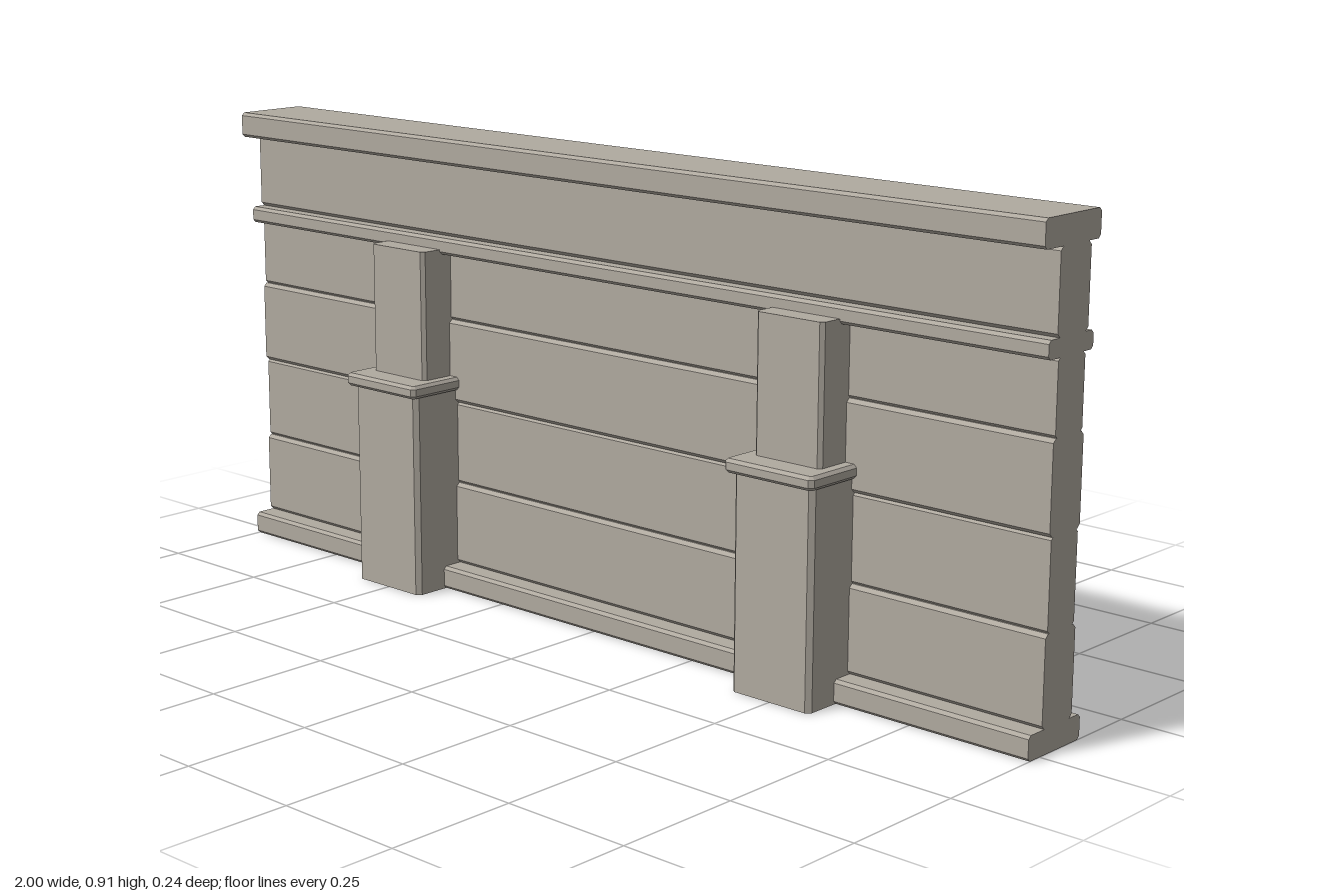
import * as THREE from 'three';

const stone = new THREE.MeshStandardMaterial({ color: 0xb0aaa0, flatShading: true });

// Rectangle centred on the origin with its corners cut
function cutRect(w, h, c) {
  const a = w / 2, b = h / 2;
  return new THREE.Shape([
    [-a + c, -b], [a - c, -b], [a, -b + c], [a, b - c],
    [a - c, b], [-a + c, b], [-a, b - c], [-a, -b + c],
  ].map(([x, y]) => new THREE.Vector2(x, y)));
}

// Full-length course between heights y0..y1 and depths zBack..zFront
function course(name, y0, y1, zFront, zBack, cut) {
  const geo = new THREE.ExtrudeGeometry(cutRect(zFront - zBack, y1 - y0, cut), { depth: 2, bevelEnabled: false });
  geo.translate(0, 0, -1).rotateY(-Math.PI / 2);
  geo.translate(0, (y0 + y1) / 2, (zFront + zBack) / 2);
  const mesh = new THREE.Mesh(geo, stone);
  mesh.name = name;
  return mesh;
}

// Upright block with cut vertical edges; bevel also trims its top and bottom
function block(name, halfWidth, y0, y1, zFront, cut, bevel = 0) {
  const zBack = -0.03;
  const shape = cutRect(halfWidth * 2 - bevel * 2, zFront - zBack - bevel * 2, cut);
  const geo = new THREE.ExtrudeGeometry(shape, {
    depth: y1 - y0 - bevel * 2, bevelEnabled: bevel > 0,
    bevelThickness: bevel, bevelSize: bevel, bevelSegments: 1,
  });
  geo.rotateX(-Math.PI / 2).translate(0, y0 + bevel, (zFront + zBack) / 2);
  const mesh = new THREE.Mesh(geo, stone);
  mesh.name = name;
  return mesh;
}

export function createModel() {
  const model = new THREE.Group();
  model.name = 'wall';

  // Plinth, wall courses, string band and coping
  const courses = [
    ['plinth', 0, 0.046, 0.034, -0.118, 0.006],
    ['wallCourse1', 0.046, 0.213, -0.004, -0.092, 0.007],
    ['wallCourse2', 0.213, 0.379, -0.009, -0.087, 0.005],
    ['wallCourse3', 0.379, 0.546, -0.004, -0.092, 0.007],
    ['wallCourse4', 0.546, 0.68, -0.009, -0.087, 0.005],
    ['stringBand', 0.68, 0.713, 0.02, -0.109, 0.006],
    ['upperCourse', 0.713, 0.863, -0.004, -0.092, 0.007],
    ['coping', 0.863, 0.914, 0.042, -0.118, 0.006],
  ];
  for (const c of courses) model.add(course(...c));

  // Pair of stepped buttresses on the front
  for (const side of [-1, 1]) {
    const buttress = new THREE.Group();
    buttress.name = side > 0 ? 'leftButtress' : 'rightButtress';
    buttress.add(
      block('buttressBase', 0.09, 0, 0.41, 0.104, 0.009),
      block('buttressLedge', 0.1, 0.406, 0.432, 0.12, 0.004, 0.006),
      block('buttressTop', 0.075, 0.43, 0.69, 0.066, 0.007),
    );
    buttress.position.x = side * 0.5;
    model.add(buttress);
  }
  return model;
}
